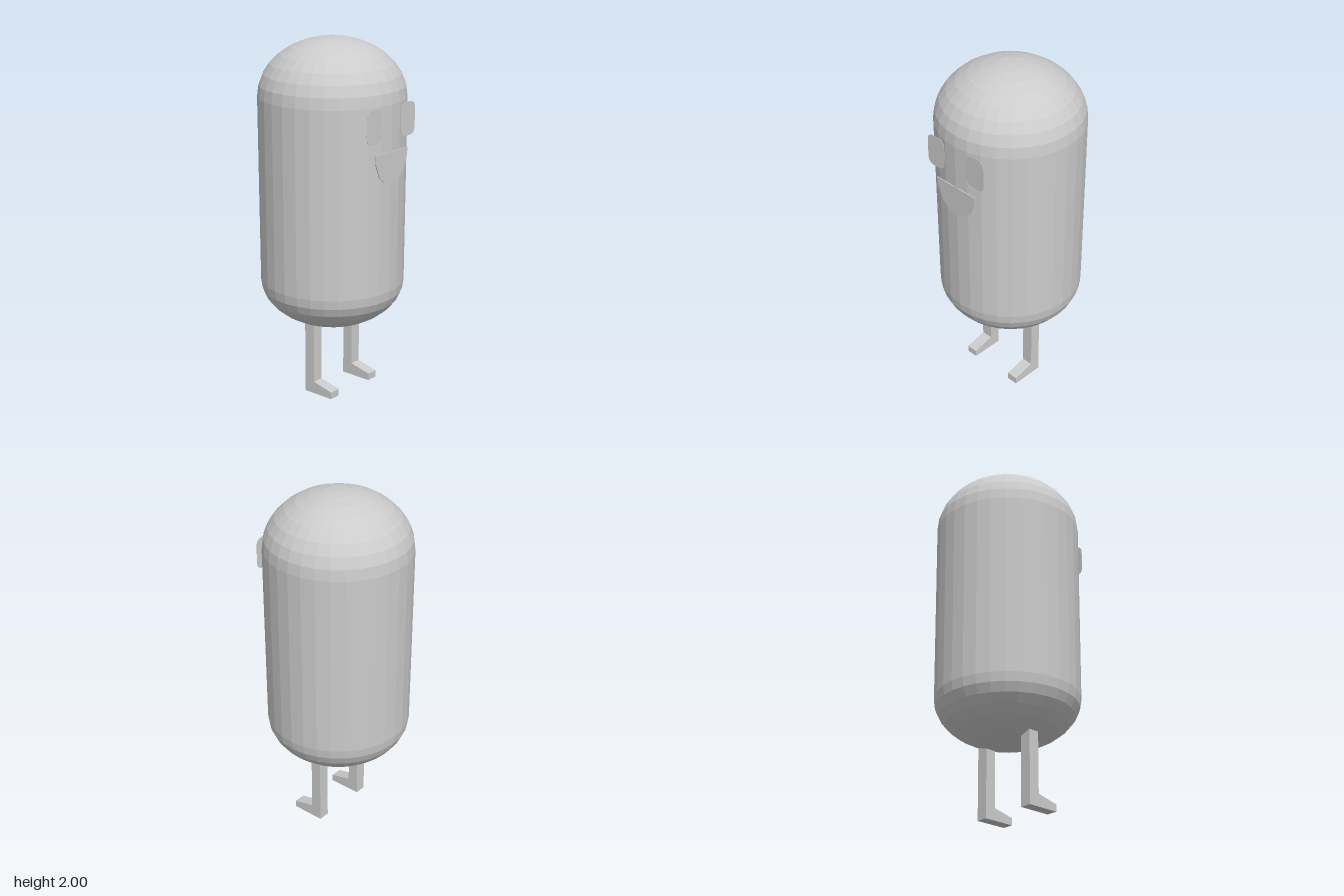
import * as THREE from 'three';

const grey = new THREE.MeshStandardMaterial({ color: 0xcccccc, flatShading: true, side: THREE.DoubleSide });

function add(group, name, geometry) {
  const mesh = new THREE.Mesh(geometry, grey);
  mesh.name = name;
  group.add(mesh);
  return mesh;
}

const extrude = (shape, depth) =>
  new THREE.ExtrudeGeometry(shape, { depth, bevelEnabled: false, curveSegments: 5 });

// Capsule profile: flattened dome below, gently widening wall, taller dome above
function bodyGeometry() {
  const steps = 8, profile = [];
  for (let i = 0; i <= steps; i++) {
    const a = (i / steps) * Math.PI / 2;
    profile.push(new THREE.Vector2(0.402 * Math.sin(a), 0.64 - 0.265 * Math.cos(a)));
  }
  for (let i = steps; i >= 0; i--) {
    const a = (i / steps) * Math.PI / 2;
    profile.push(new THREE.Vector2(0.407 * Math.sin(a), 1.68 + 0.32 * Math.cos(a)));
  }
  return new THREE.LatheGeometry(profile, 32);
}

// Upright rounded plate, centred on the origin
function eyeShape(w, h, r) {
  const s = new THREE.Shape();
  s.moveTo(-w, -h + r);
  s.quadraticCurveTo(-w, -h, -w + r, -h);
  s.lineTo(w - r, -h);
  s.quadraticCurveTo(w, -h, w, -h + r);
  s.lineTo(w, h - r);
  s.quadraticCurveTo(w, h, w - r, h);
  s.lineTo(-w + r, h);
  s.quadraticCurveTo(-w, h, -w, h - r);
  return s;
}

export function createModel() {
  const model = new THREE.Group();
  model.name = 'capsuleFigure';
  add(model, 'body', bodyGeometry());

  // Open smile with a straight upper edge
  const half = [[0.14, 1.43], [0.135, 1.385], [0.1, 1.305], [0.055, 1.267]];
  const outline = [
    ...half.map(([x, y]) => new THREE.Vector2(x, y)),
    new THREE.Vector2(0, 1.257),
    ...half.slice().reverse().map(([x, y]) => new THREE.Vector2(-x, y)),
  ];
  add(model, 'mouth', extrude(new THREE.Shape(outline), 0.005)).position.z = 0.403;

  // Side profile of leg and wedge foot, drawn with z across and y up
  const legProfile = new THREE.Shape([
    [-0.03, 0], [0.16, 0], [0.16, 0.04], [0.033, 0.07], [0.033, 0.42], [-0.03, 0.42],
  ].map(([z, y]) => new THREE.Vector2(z, y)));
  const legGeometry = extrude(legProfile, 0.066);
  legGeometry.rotateY(-Math.PI / 2).translate(0.033, 0, 0);
  const eyeGeometry = extrude(eyeShape(0.061, 0.092, 0.045), 0.002);

  for (const [side, label] of [[1, 'left'], [-1, 'right']]) {
    add(model, label + 'Eye', eyeGeometry).position.set(side * 0.144, 1.583, 0.402);
    add(model, label + 'Leg', legGeometry).position.x = side * 0.168;
  }
  return model;
}
